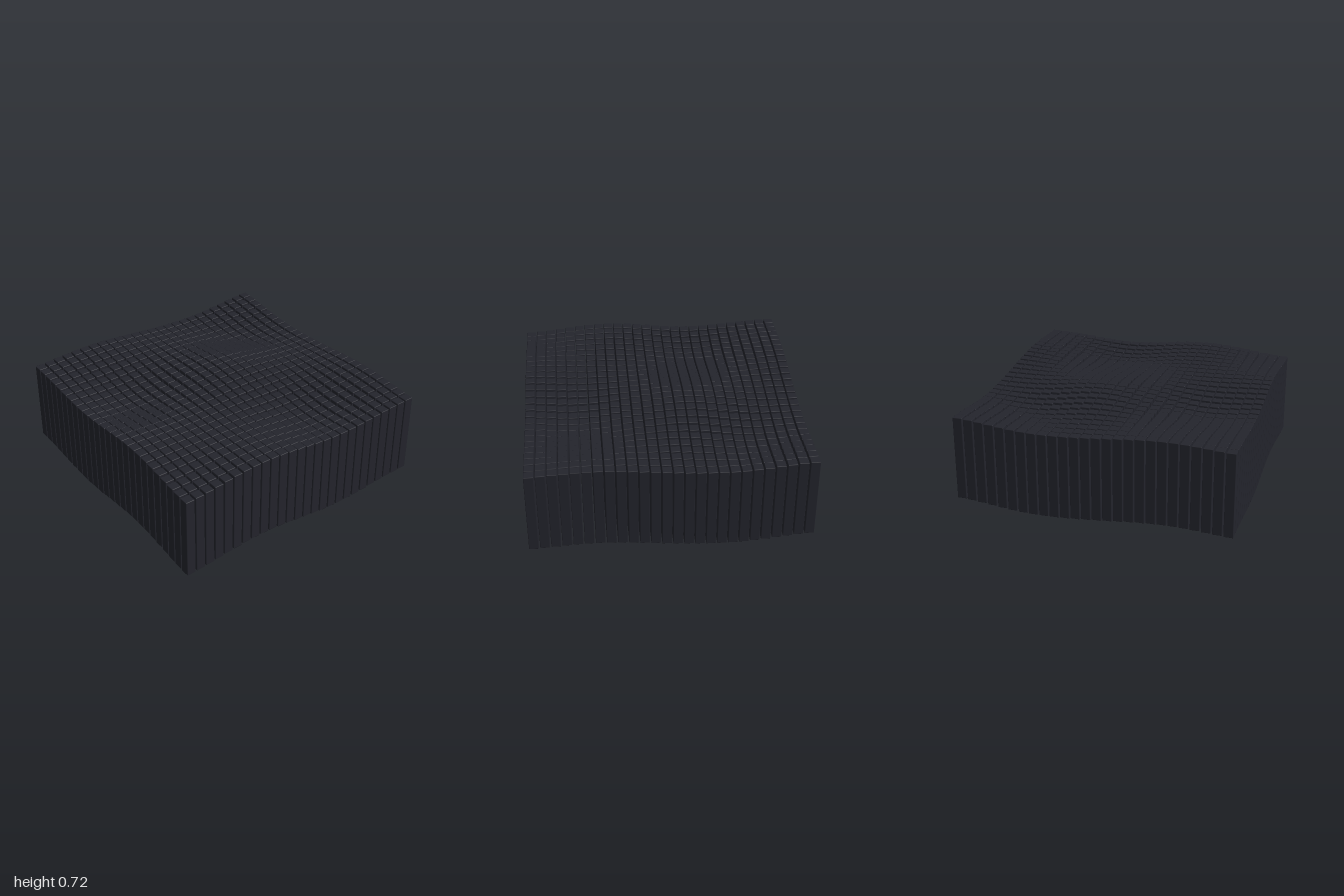
import * as THREE from 'three';
import { RoundedBoxGeometry } from 'three/addons/geometries/RoundedBoxGeometry.js';

const COUNT = 26;
const WIDTH = 0.068;
const PITCH = (2 - WIDTH) / (COUNT - 1);
const HEIGHT = 0.62;

// Swells and dips of the wave: [a, b, height, radius]; each is mirrored across the diagonal
const SWELLS = [
  [0.16, 0.16, 0.055, 0.3],
  [0.3, -0.62, -0.06, 0.28],
  [0.58, 0.58, -0.05, 0.25],
  [-0.35, -1, 0.035, 0.3],
  [-1, -1, -0.03, 0.25],
  [1, -0.55, 0.04, 0.3],
  [1, 1, 0.03, 0.3],
  [0.3, 1, -0.02, 0.3],
];

// Height of a column's foot above the ground
function lift(x, z) {
  const w = -z;
  let h = 0.065;
  for (const [a, b, amount, r] of SWELLS) {
    const bump = (p, q) => amount * Math.exp(-((x - p) ** 2 + (w - q) ** 2) / (2 * r * r));
    h += bump(a, b);
    if (a !== b) h += bump(b, a);
  }
  return THREE.MathUtils.clamp(h, 0, 0.12);
}

export function createModel() {
  const group = new THREE.Group();
  group.name = 'waveOfColumns';
  const charcoal = new THREE.MeshStandardMaterial({ color: 0x23242c });
  charcoal.name = 'charcoal';

  // One slightly bevelled column, repeated over the grid
  const geometry = new RoundedBoxGeometry(WIDTH, HEIGHT, WIDTH, 1, 0.004);
  for (let i = 0; i < COUNT; i++) {
    const row = new THREE.Group();
    row.name = `columnRow${i + 1}`;
    const z = -1 + WIDTH / 2 + i * PITCH;
    for (let j = 0; j < COUNT; j++) {
      const x = -1 + WIDTH / 2 + j * PITCH;
      const column = new THREE.Mesh(geometry, charcoal);
      column.name = 'column';
      column.position.set(x, lift(x, z) + HEIGHT / 2, z);
      row.add(column);
    }
    group.add(row);
  }

  // Stand the lowest column on the ground
  group.updateMatrixWorld(true);
  const low = new THREE.Box3().setFromObject(group).min.y;
  for (const row of group.children) row.position.y = -low;
  return group;
}
